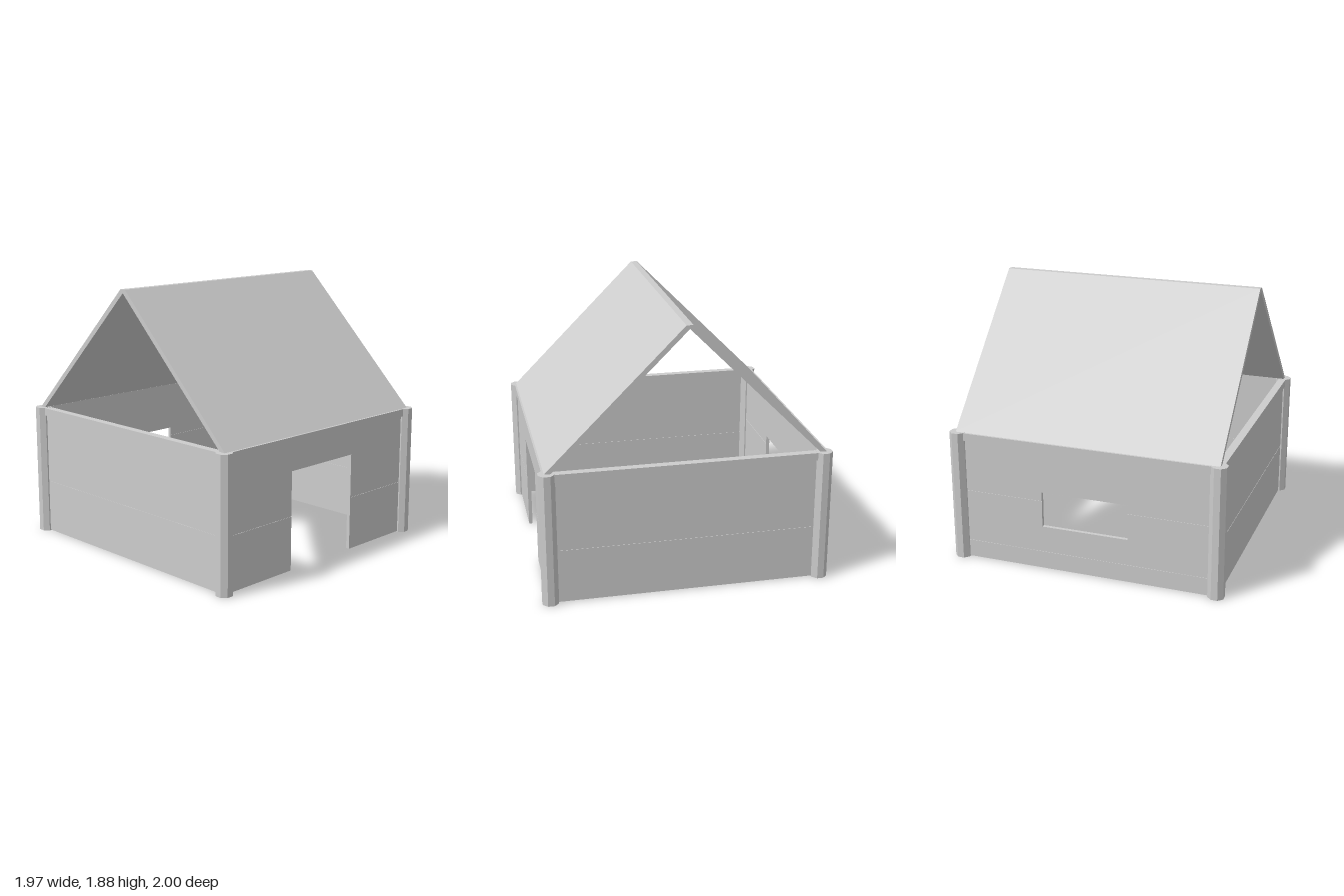
import * as THREE from 'three';

const PX = 0.93, PZ = 0.945, TOP = 0.94; // post centres and post height
const RAIL = 0.055, WALL = 0.026, BASE = 0.005;

export function createModel() {
  const house = new THREE.Group();
  house.name = 'playhouse';
  const grey = new THREE.MeshStandardMaterial({ color: 0xcccccc });
  grey.name = 'light grey';

  const add = (name, geometry, parent = house) => {
    const mesh = new THREE.Mesh(geometry, grey);
    mesh.name = name;
    parent.add(mesh);
    return mesh;
  };
  const box = (name, x0, x1, y0, y1, depth, parent) =>
    add(name, new THREE.BoxGeometry(x1 - x0, y1 - y0, depth), parent)
      .position.set((x0 + x1) / 2, (y0 + y1) / 2, 0);

  // Wall in the xy plane: stacked planks with thin seams, an optional opening and a top rail
  const wall = (name, half, seams, hole) => {
    const group = new THREE.Group();
    group.name = name;
    house.add(group);
    const top = TOP - RAIL;
    const layer = (label, y0, y1, depth) => {
      const cuts = [y0, y1];
      if (hole) cuts.push(...[hole.y0, hole.y1].filter((y) => y > y0 && y < y1));
      cuts.sort((a, b) => a - b);
      for (let i = 0; i < cuts.length - 1; i++) {
        const [a, b] = [cuts[i], cuts[i + 1]];
        const mid = (a + b) / 2;
        if (hole && mid > hole.y0 && mid < hole.y1) {
          box(label, -half, -hole.w, a, b, depth, group);
          box(label, hole.w, half, a, b, depth, group);
        } else box(label, -half, half, a, b, depth, group);
      }
    };
    const edges = [BASE, ...seams, top];
    for (let i = 0; i < edges.length - 1; i++) {
      const gap = i ? 0.004 : 0;
      if (gap) layer('seam', edges[i], edges[i] + gap, WALL - 0.006);
      layer('plank', edges[i] + gap, edges[i + 1], WALL);
    }
    box('topRail', -half, half, top, TOP - 0.001, RAIL, group);
    return group;
  };

  wall('frontWall', PX, [0.385], { w: 0.31, y0: 0, y1: 0.70 }).position.z = PZ;
  const back = wall('backWall', PX, [0.13, 0.51], { w: 0.31, y0: 0.32, y1: 0.575 });
  back.position.z = -PZ;
  back.rotation.y = Math.PI;
  for (const side of [-1, 1]) {
    const panel = wall(side > 0 ? 'leftWall' : 'rightWall', PZ, [0.385]);
    panel.position.x = side * PX;
    panel.rotation.y = side * Math.PI / 2;
  }

  // Octagonal corner posts with flat sides facing outwards
  const radius = 0.055 / Math.cos(Math.PI / 8);
  const postGeometry = new THREE.CylinderGeometry(radius, radius, TOP, 8).toNonIndexed();
  postGeometry.rotateY(Math.PI / 8);
  postGeometry.computeVertexNormals();
  for (const x of [-PX, PX])
    for (const z of [-PZ, PZ])
      add('cornerPost', postGeometry).position.set(x, TOP / 2, z);

  // Open gable roof: a folded sheet with a narrow flat ridge
  const outline = [[-0.96, TOP], [-0.915, TOP], [0, 1.855], [0.915, TOP],
    [0.96, TOP], [0.023, 1.88], [-0.023, 1.88]];
  const roofShape = new THREE.Shape(outline.map(([z, y]) => new THREE.Vector2(z, y)));
  const roof = new THREE.ExtrudeGeometry(roofShape, { depth: 1.88, bevelEnabled: false });
  roof.translate(0, 0, -0.94);
  roof.rotateY(Math.PI / 2);
  add('roof', roof);

  return house;
}
